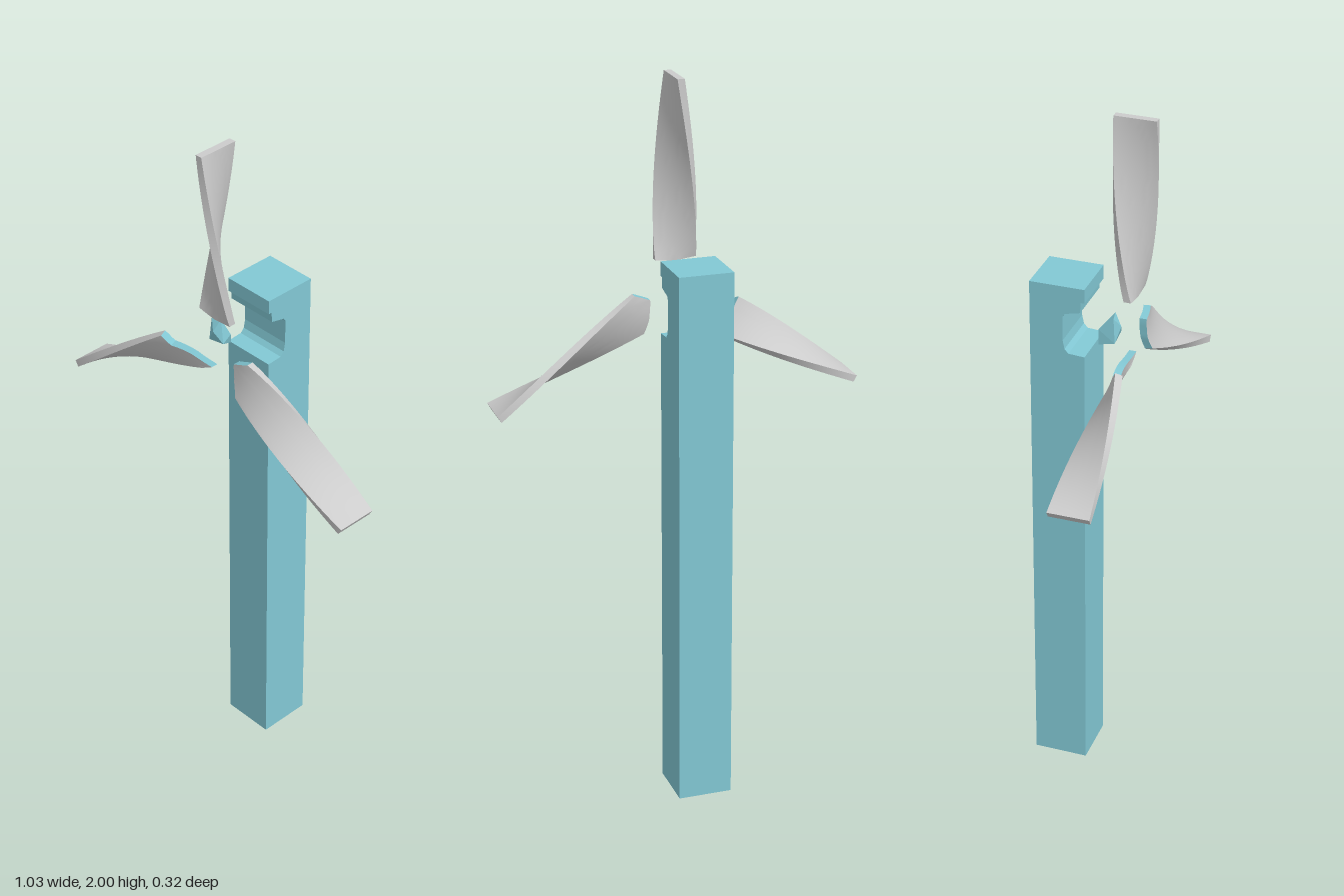
import * as THREE from 'three';
import { toCreasedNormals } from 'three/addons/utils/BufferGeometryUtils.js';
import { ConvexGeometry } from 'three/addons/geometries/ConvexGeometry.js';

const grey = new THREE.MeshStandardMaterial({ color: 0xcccccc });
const teal = new THREE.MeshStandardMaterial({ color: 0x82c8d4 });
const HUB_Y = 1.41, HUB_Z = 0.1025, TIP = 0.59, HALF_CHORD = 0.0575, HALF_THICK = 0.01;

// Linear interpolation through [s, r] pairs describing a broken root line
function rootAt(outline, s) {
  for (let i = 1; i < outline.length; i++) {
    const [s0, r0] = outline[i - 1], [s1, r1] = outline[i];
    if (s <= s1 || i === outline.length - 1) return r0 + (r1 - r0) * THREE.MathUtils.clamp((s - s0) / (s1 - s0), 0, 1);
  }
}

// Point on the twisted blade: s across the chord, r along the span, n through the thickness
function bladePoint(s, r, n) {
  const t = THREE.MathUtils.clamp((r - 0.09) / (TIP - 0.09), 0, 1);
  const a = Math.PI / 2 * Math.pow(t, 0.85), c = Math.cos(a), d = Math.sin(a);
  return [s * c - n * d, r, s * d + n * c];
}

function quadMesh(quads, material, name) {
  const data = [];
  for (const [a, b, c, d] of quads) data.push(...a, ...b, ...c, ...a, ...c, ...d);
  const geo = new THREE.BufferGeometry();
  geo.setAttribute('position', new THREE.Float32BufferAttribute(data, 3));
  const mesh = new THREE.Mesh(toCreasedNormals(geo, 0.6), material);
  mesh.name = name;
  return mesh;
}

// Blade twisting a quarter turn from root to tip, with a ragged root
function makeBlade(name, angle, outline) {
  const cols = 12, rows = 24, skin = [], broken = [];
  const P = (j, i, side) => {
    const s = HALF_CHORD * (2 * j / cols - 1);
    const r0 = rootAt(outline, s);
    return bladePoint(s, r0 + (TIP - r0) * i / rows, side * HALF_THICK);
  };
  for (let j = 0; j < cols; j++) {
    for (let i = 0; i < rows; i++) {
      skin.push([P(j, i, 1), P(j + 1, i, 1), P(j + 1, i + 1, 1), P(j, i + 1, 1)]);
      skin.push([P(j + 1, i, -1), P(j, i, -1), P(j, i + 1, -1), P(j + 1, i + 1, -1)]);
    }
    // tip cap and broken root face
    skin.push([P(j, rows, 1), P(j + 1, rows, 1), P(j + 1, rows, -1), P(j, rows, -1)]);
    broken.push([P(j, 0, -1), P(j + 1, 0, -1), P(j + 1, 0, 1), P(j, 0, 1)]);
  }
  // leading and trailing edges
  for (let i = 0; i < rows; i++) {
    skin.push([P(cols, i, 1), P(cols, i, -1), P(cols, i + 1, -1), P(cols, i + 1, 1)]);
    skin.push([P(0, i, -1), P(0, i, 1), P(0, i + 1, 1), P(0, i + 1, -1)]);
  }
  const blade = new THREE.Group();
  blade.name = name;
  blade.add(quadMesh(skin, grey, 'bladeSkin'), quadMesh(broken, teal, 'brokenRoot'));
  blade.position.set(0, HUB_Y, HUB_Z);
  blade.rotation.z = angle;
  return blade;
}

// Square tower, side profile (z, y) with the hub socket broken out of the front
function makeTower() {
  const profile = [[-0.163, 0], [-0.01, 0], [-0.01, 1.33], [-0.055, 1.333], [-0.066, 1.345], [-0.071, 1.37],
    [-0.071, 1.44], [-0.065, 1.45], [-0.022, 1.46], [-0.02, 1.49], [-0.01, 1.49], [-0.01, 1.53], [-0.163, 1.53]];
  const shape = new THREE.Shape(profile.map(([z, y]) => new THREE.Vector2(z, y)));
  const geo = new THREE.ExtrudeGeometry(shape, { depth: 0.152, bevelEnabled: false });
  geo.rotateY(-Math.PI / 2).translate(0.076, 0, 0);
  const tower = new THREE.Mesh(geo, teal);
  tower.name = 'tower';
  return tower;
}

// Loose splinter left over from the hub
function makeShard() {
  const points = [[-0.065, 1.37, 0.025], [-0.065, 1.415, 0.025], [-0.03, 1.365, 0.025], [-0.02, 1.4, 0.035],
    [-0.06, 1.45, 0.065], [-0.03, 1.455, 0.06], [-0.065, 1.38, 0.07], [-0.012, 1.39, 0.07], [-0.04, 1.42, 0.08]];
  const shard = new THREE.Mesh(new ConvexGeometry(points.map(p => new THREE.Vector3(...p))), teal);
  shard.name = 'hubShard';
  return shard;
}

export function createModel() {
  const model = new THREE.Group();
  model.name = 'brokenWindTurbine';
  const third = 2 * Math.PI / 3;
  model.add(
    makeTower(),
    makeShard(),
    makeBlade('topBlade', 0, [[-0.058, 0.093], [0, 0.085], [0.058, 0.09]]),
    makeBlade('leftBlade', -third, [[-0.058, 0.104], [-0.018, 0.072], [0.03, 0.105], [0.058, 0.135]]),
    makeBlade('rightBlade', third, [[-0.058, 0.045], [-0.022, 0.105], [0.02, 0.18], [0.058, 0.185]]),
  );
  return model;
}
